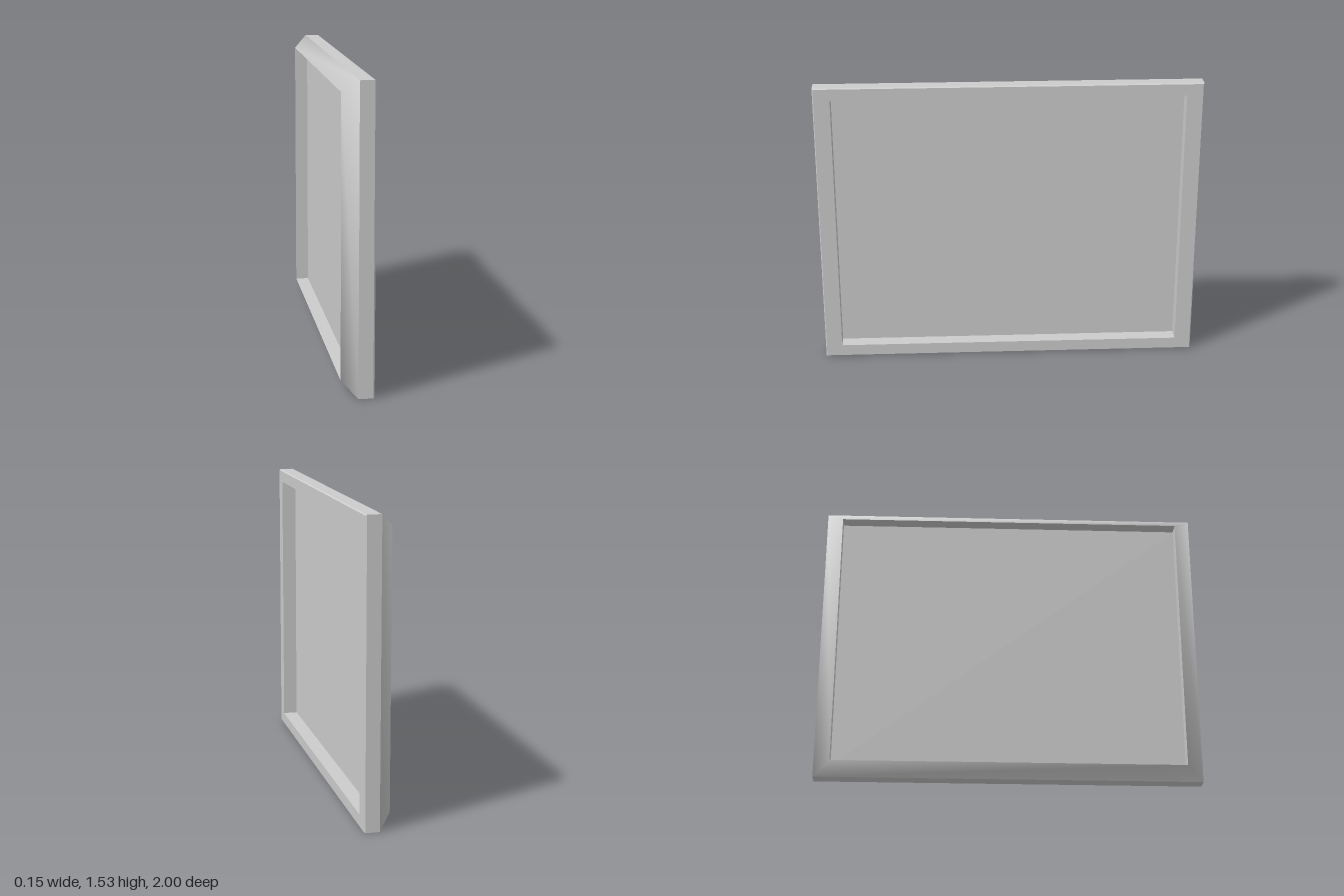
import * as THREE from 'three';

const MID_Y = 0.765;

// Band of four quads joining two rectangular loops given as [x, half depth, half height]
function band(a, b, smooth) {
  const corners = [[1, 1], [-1, 1], [-1, -1], [1, -1]];
  const positions = [];
  for (const [x, hz, hy] of [a, b]) {
    for (const [sz, sy] of corners) positions.push(x, MID_Y + sy * hy, sz * hz);
  }
  const index = [];
  for (let i = 0; i < 4; i++) {
    const j = (i + 1) % 4;
    index.push(i, i + 4, j, j, i + 4, j + 4);
  }
  let geometry = new THREE.BufferGeometry();
  geometry.setAttribute('position', new THREE.Float32BufferAttribute(positions, 3));
  geometry.setIndex(index);
  if (!smooth) geometry = geometry.toNonIndexed();
  geometry.computeVertexNormals();
  return geometry;
}

export function createModel() {
  const model = new THREE.Group();
  const material = new THREE.MeshStandardMaterial({ color: 0xcccccc });

  const add = (name, geometry) => {
    const mesh = new THREE.Mesh(geometry, material);
    mesh.name = name;
    model.add(mesh);
    return mesh;
  };

  // Frame section, from the thin back lip around the outside and through the opening
  const backLip = [-0.076, 0.912, 0.7];
  const shoulder = [-0.003, 1, 0.765];
  const outerEdge = [0.069, 1, 0.765];
  const frontEdge = [0.076, 0.995, 0.76];
  const frontOpening = [0.076, 0.912, 0.7];

  add('slopedBackRim', band(backLip, shoulder, true));
  add('outerSides', band(shoulder, outerEdge));
  add('frontChamfer', band(outerEdge, frontEdge));
  add('frontBorder', band(frontEdge, frontOpening));
  add('innerWalls', band(frontOpening, backLip));

  // Thin panel recessed from both sides
  add('panel', new THREE.BoxGeometry(0.004, 1.4, 1.824)).position.set(-0.003, MID_Y, 0);

  return model;
}
